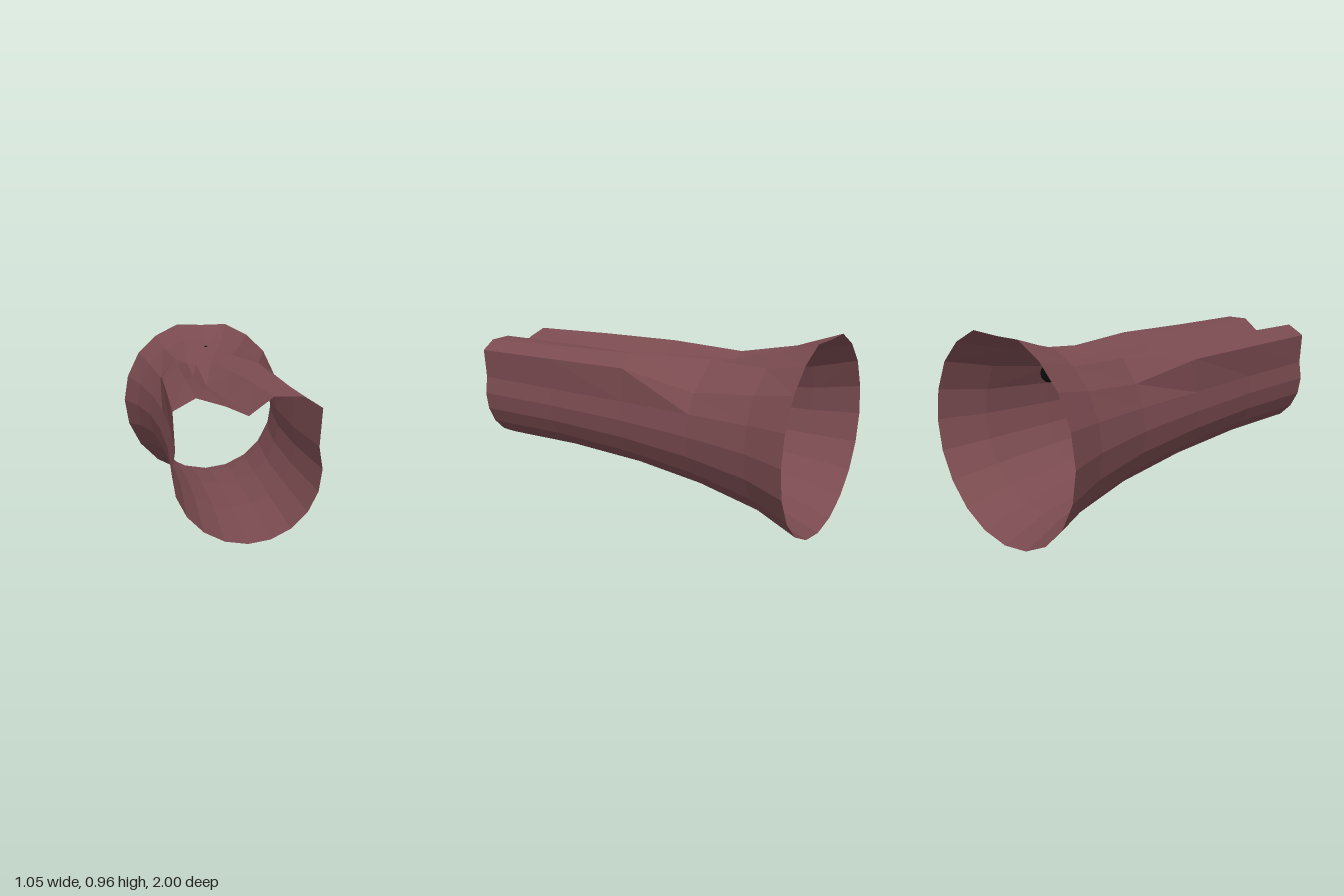
import * as THREE from 'three';

const SIDES = 20;
const TILT = 0.136; // rings lean: z grows with x

// Each ring: centre x, centre z, radius, and the pinched top points (36° to 144°)
const RINGS = [
  { x: -0.222, z: 0.955, r: 0.3, top: [[0.075, 0.74], [0, 0.788], [-0.12, 0.79], [-0.22, 0.715], [-0.31, 0.755], [-0.425, 0.79], [-0.515, 0.74]] },
  { x: -0.16, z: 0.49, r: 0.29, top: [[0.125, 0.745], [0.045, 0.802], [-0.08, 0.79], [-0.19, 0.71], [-0.27, 0.75], [-0.37, 0.805], [-0.45, 0.745]] },
  { x: -0.097, z: 0.02, r: 0.305, top: [[0.19, 0.755], [0.105, 0.818], [-0.04, 0.78], [-0.16, 0.7], [-0.23, 0.755], [-0.305, 0.815], [-0.385, 0.75]] },
  { x: -0.037, z: -0.39, r: 0.345, top: [[0.242, 0.69], [0.08, 0.82], [-0.035, 0.79], [-0.12, 0.77], [-0.17, 0.775], [-0.24, 0.805], [-0.32, 0.7]] },
  { x: 0.005, z: -0.72, r: 0.408, top: [[0.335, 0.74], [0.215, 0.835], [0.11, 0.885], [0, 0.86], [-0.12, 0.885], [-0.235, 0.83], [-0.325, 0.74]] },
  { x: 0.037, z: -0.933, r: 0.487, top: [[0.431, 0.786], [0.323, 0.892], [0.187, 0.961], [0.037, 0.957], [-0.115, 0.961], [-0.249, 0.892], [-0.357, 0.786]] },
];

function sleeveGeometry() {
  const positions = [];
  const indices = [];
  RINGS.forEach((ring, i) => {
    for (let j = 0; j < SIDES; j++) {
      const a = (j / SIDES) * Math.PI * 2;
      const pinched = ring.top[j - 2];
      const x = pinched ? pinched[0] : ring.x + ring.r * Math.cos(a);
      const y = pinched ? pinched[1] : 0.49 + ring.r * Math.sin(a);
      positions.push(x, y, ring.z + TILT * (x - ring.x));
      if (i < RINGS.length - 1) {
        const p = i * SIDES + j;
        const q = i * SIDES + ((j + 1) % SIDES);
        indices.push(p, p + SIDES, q, q, p + SIDES, q + SIDES);
      }
    }
  });
  const indexed = new THREE.BufferGeometry();
  indexed.setAttribute('position', new THREE.Float32BufferAttribute(positions, 3));
  indexed.setIndex(indices);
  const flat = indexed.toNonIndexed();
  flat.computeVertexNormals();
  return flat;
}

export function createModel() {
  const group = new THREE.Group();
  group.name = 'flaredSleeve';

  const cloth = new THREE.MeshStandardMaterial({ color: 0x7a4b50, side: THREE.DoubleSide, flatShading: true });
  cloth.name = 'dusty maroon';
  const black = new THREE.MeshStandardMaterial({ color: 0x0b0d0c });
  black.name = 'black';

  // Open tube with a lengthwise fold along its top
  const sleeve = new THREE.Mesh(sleeveGeometry(), cloth);
  sleeve.name = 'sleeve';
  sleeve.position.y = 0.003;
  group.add(sleeve);

  // Hanging bead: round body, thin neck and small knob poking through the top
  const bead = new THREE.Group();
  bead.name = 'bead';
  bead.position.set(-0.002, 0, -0.65);
  const profile = [[0, 0.708], [0.02, 0.714], [0.035, 0.729], [0.04, 0.748], [0.037, 0.768], [0.025, 0.787],
    [0.012, 0.8], [0.007, 0.815], [0.007, 0.83], [0.013, 0.84], [0.01, 0.849], [0, 0.855]];
  const body = new THREE.Mesh(
    new THREE.LatheGeometry(profile.map(([x, y]) => new THREE.Vector2(x, y)), 16), black);
  body.name = 'beadBody';
  bead.add(body);
  group.add(bead);

  return group;
}
